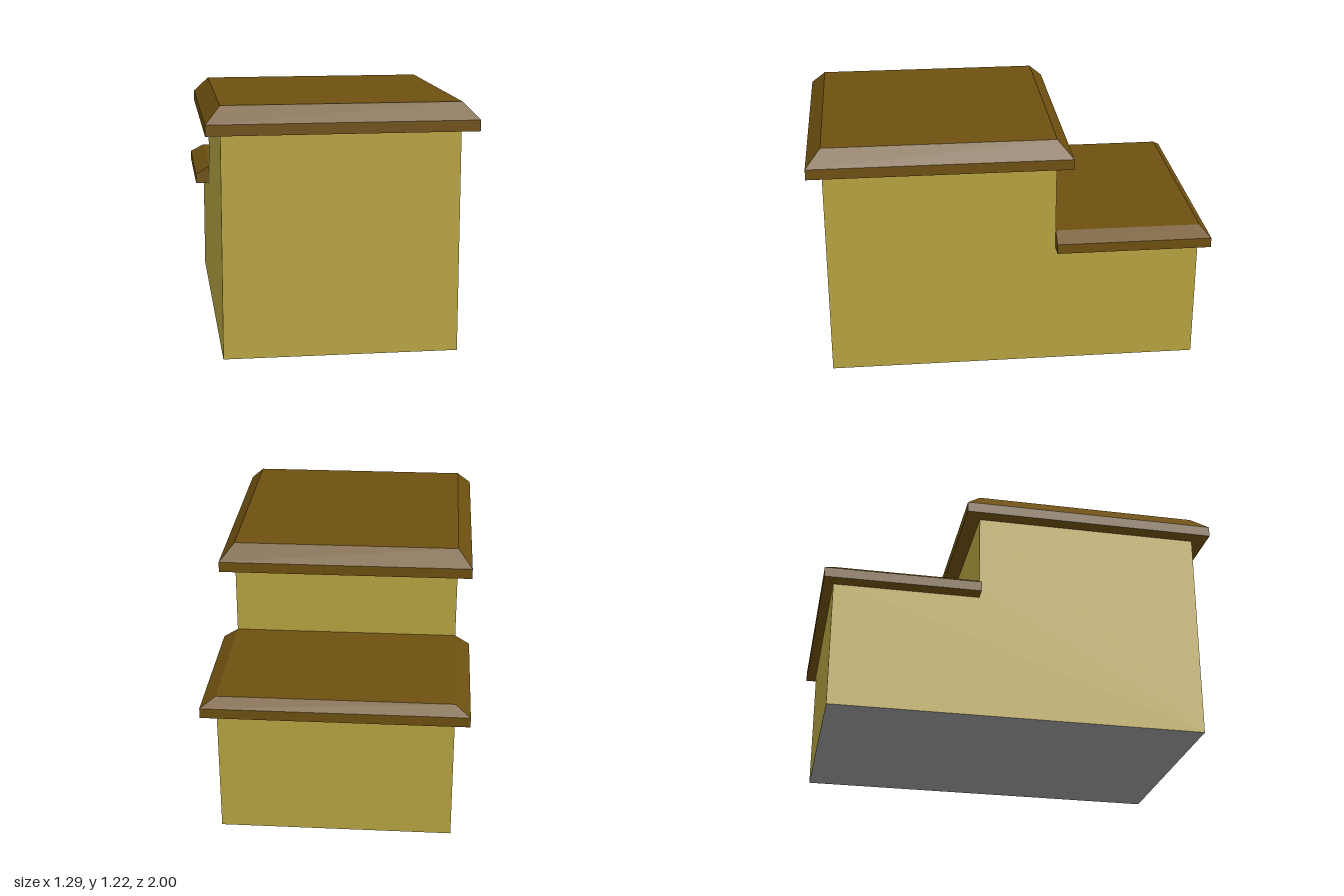
import * as THREE from 'three';

const wallPaint = new THREE.MeshStandardMaterial({ name: 'mustard wall', color: 0xb8a542 });
const roofPaint = new THREE.MeshStandardMaterial({ name: 'brown roof', color: 0x6e5010 });
const floorPaint = new THREE.MeshStandardMaterial({ name: 'grey floor', color: 0x999999 });

// Slab lofted through rectangular rings [y, halfWidth, backZ, frontZ], listed bottom to top
function bevelledSlab(rings) {
  const loops = rings.map(([y, w, back, front]) =>
    [[-w, y, front], [w, y, front], [w, y, back], [-w, y, back]]);
  const points = [];
  const quad = (a, b, c, d) => points.push(...a, ...b, ...c, ...a, ...c, ...d);
  for (let r = 0; r < loops.length - 1; r++) {
    const low = loops[r], high = loops[r + 1];
    for (let i = 0; i < 4; i++) {
      const j = (i + 1) % 4;
      quad(low[i], low[j], high[j], high[i]);
    }
  }
  quad(...loops[loops.length - 1]);
  quad(...loops[0].slice().reverse());
  const geometry = new THREE.BufferGeometry();
  geometry.setAttribute('position', new THREE.Float32BufferAttribute(points, 3));
  geometry.computeVertexNormals();
  return geometry;
}

export function createModel() {
  const model = new THREE.Group();
  model.name = 'steppedBuilding';
  const add = (name, geometry, material) => {
    const mesh = new THREE.Mesh(geometry, material);
    mesh.name = name;
    model.add(mesh);
    return mesh;
  };

  const halfWidth = 0.57, front = 0.925, step = -0.22, back = -0.95, floor = 0.004;

  // Walls: stepped side profile (drawn with x = -z) extruded across the width
  const profile = new THREE.Shape([
    [-front, floor], [-back, floor], [-back, 0.66], [-step, 0.66], [-step, 1.12], [-front, 1.12],
  ].map(([x, y]) => new THREE.Vector2(x, y)));
  const walls = new THREE.ExtrudeGeometry(profile, { depth: halfWidth * 2, bevelEnabled: false });
  walls.translate(0, 0, -halfWidth).rotateY(Math.PI / 2);
  add('walls', walls, wallPaint);

  // Floor plate: grey underneath, wall colour on its thin edges
  const plate = new THREE.BoxGeometry(halfWidth * 2, floor, front - back);
  plate.translate(0, floor / 2, (front + back) / 2);
  add('floor', plate, [wallPaint, wallPaint, wallPaint, floorPaint, wallPaint, wallPaint]);

  // Main roof, bevelled on all four sides
  add('upperRoof', bevelledSlab([
    [1.09, 0.643, -0.295, 1],
    [1.143, 0.643, -0.295, 1],
    [1.222, 0.57, -0.22, 0.925],
  ]), roofPaint);

  // Rear roof, ending flat against the taller wall
  add('lowerRoof', bevelledSlab([
    [0.638, 0.643, -1, step],
    [0.688, 0.643, -1, step],
    [0.733, 0.57, -0.953, step],
  ]), roofPaint);

  return model;
}
